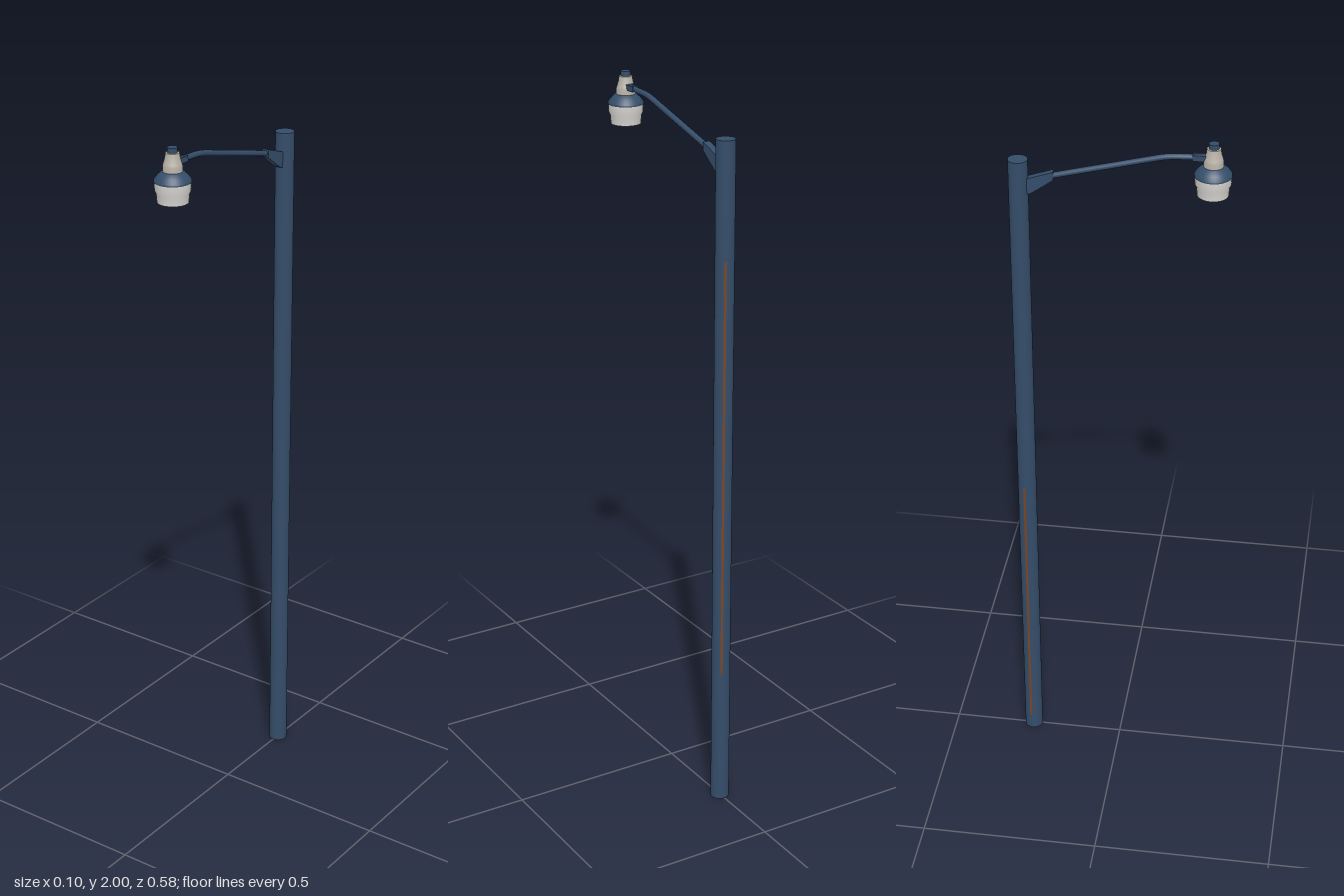
import * as THREE from 'three';

const mat = (name, color, side = THREE.FrontSide) => {
  const m = new THREE.MeshStandardMaterial({ color, side });
  m.name = name;
  return m;
};

export function createModel() {
  const model = new THREE.Group();
  const blue = mat('blue paint', 0x344d69);
  const metal = mat('warm grey metal', 0xbab4a9);
  const glass = mat('frosted glass', 0xd8d6d2, THREE.DoubleSide);
  const rust = mat('rust', 0x7d4420);

  const add = (name, geometry, material, parent = model) => {
    const mesh = new THREE.Mesh(geometry, material);
    mesh.name = name;
    parent.add(mesh);
    return mesh;
  };
  const lathe = (points) =>
    new THREE.LatheGeometry(points.map(([r, y]) => new THREE.Vector2(r, y)), 32);

  // Side profile given in (z, y), extruded across x
  const plate = (points, width) => {
    const shape = new THREE.Shape(points.map(([z, y]) => new THREE.Vector2(-z, y)));
    const g = new THREE.ExtrudeGeometry(shape, { depth: width, bevelEnabled: false });
    g.translate(0, 0, -width / 2);
    g.rotateY(Math.PI / 2);
    return g;
  };

  // Pole
  const poleZ = -0.265, poleR = 0.026, poleH = 1.92;
  add('pole', new THREE.CylinderGeometry(poleR, poleR, poleH, 32), blue)
    .position.set(0, poleH / 2, poleZ);

  // Narrow rust streaks on the back of the pole: angle from front, bottom, top
  for (const [deg, y0, y1] of [[152, 0.4, 1.6], [262, 0.05, 0.9]]) {
    const a = THREE.MathUtils.degToRad(deg);
    const streak = new THREE.CylinderGeometry(
      poleR + 0.0006, poleR + 0.0006, y1 - y0, 4, 1, true, a - 0.12, 0.24);
    add('rustStreak', streak, rust).position.set(0, (y0 + y1) / 2, poleZ);
  }

  // Bracket joining the arm to the pole
  add('poleBracket', plate([
    [-0.172, 1.893], [-0.245, 1.868], [-0.245, 1.822], [-0.228, 1.83], [-0.172, 1.87],
  ], 0.02), blue);

  // Arm: straight rise with a soft bend toward the lamp
  const path = new THREE.CurvePath();
  const p = (z, y) => new THREE.Vector3(0, y, z);
  path.add(new THREE.LineCurve3(p(-0.19, 1.876), p(0.1, 1.95)));
  path.add(new THREE.QuadraticBezierCurve3(p(0.1, 1.95), p(0.128, 1.957), p(0.16, 1.957)));
  path.add(new THREE.LineCurve3(p(0.16, 1.957), p(0.225, 1.96)));
  add('arm', new THREE.TubeGeometry(path, 48, 0.008, 12), blue);

  // Lamp head
  const lamp = new THREE.Group();
  lamp.name = 'lamp';
  lamp.position.z = 0.24;
  model.add(lamp);

  // Fork holding the lamp neck
  for (const side of [-1, 1]) {
    add('lampFork', new THREE.BoxGeometry(0.003, 0.016, 0.034), blue, lamp)
      .position.set(side * 0.0085, 1.959, -0.036);
  }
  // Shade is open below, stepping in under its upper band, with a pale ceiling inside
  add('glassShade', lathe([[0.041, 1.856], [0.043, 1.88], [0.047, 1.888], [0.048, 1.91]]),
    glass, lamp);
  add('shadeCeiling', lathe([[0, 1.907], [0.047, 1.907]]), glass, lamp);
  add('hood', lathe([[0.047, 1.909], [0.049, 1.91], [0.049, 1.915], [0.041, 1.926],
    [0.03, 1.936], [0.024, 1.938]]), blue, lamp);
  add('neck', lathe([[0.026, 1.934], [0.026, 1.952], [0.024, 1.958], [0.02, 1.972],
    [0.018, 1.986]]), metal, lamp);
  add('neckRim', lathe([[0.018, 1.986], [0.012, 1.987]]), metal, lamp);
  add('topCap', new THREE.CylinderGeometry(0.0135, 0.0135, 0.016, 24), blue, lamp)
    .position.y = 1.992;

  return model;
}
